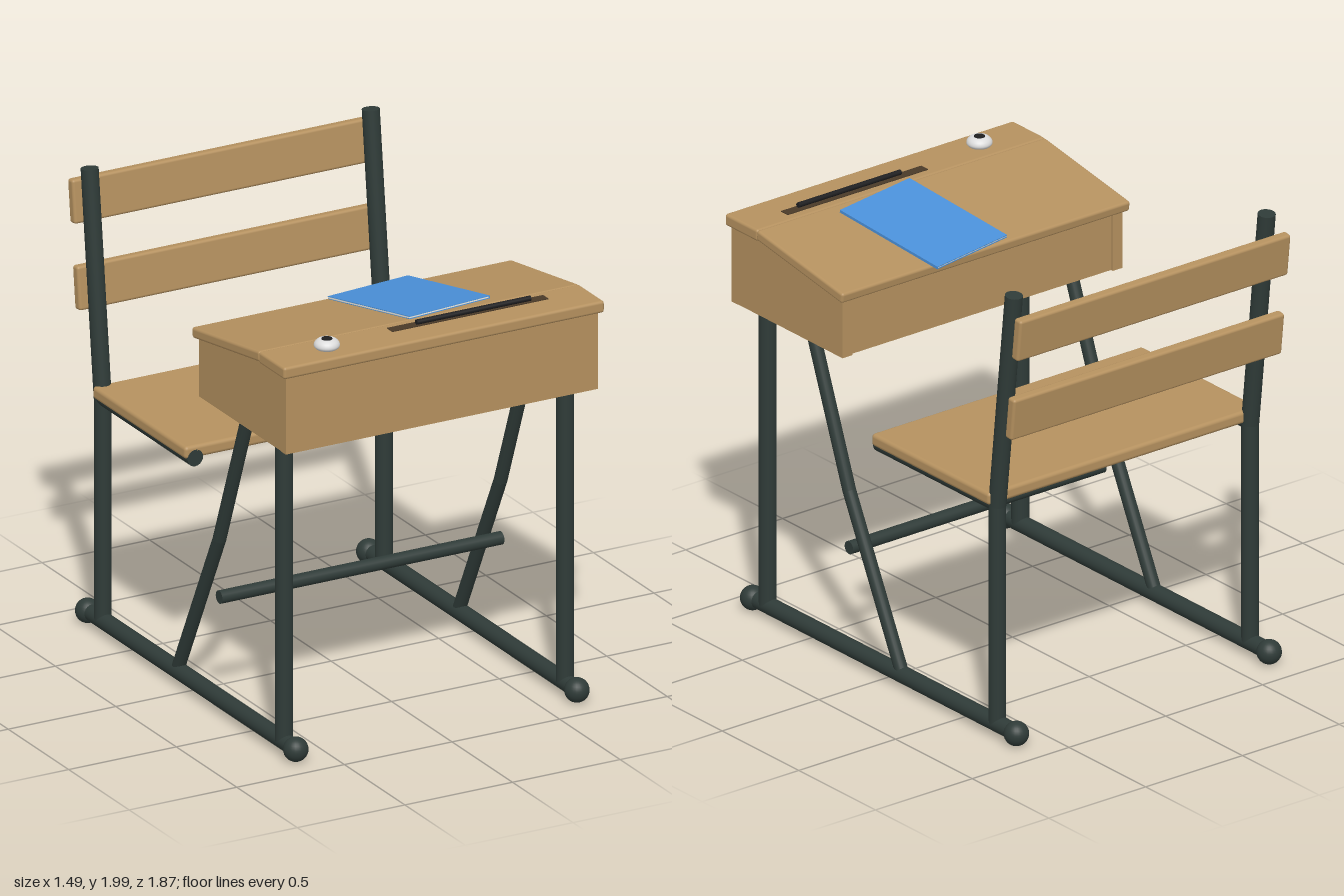
import * as THREE from 'three';
import { RoundedBoxGeometry } from 'three/addons/geometries/RoundedBoxGeometry.js';

const material = (name, color) => {
  const m = new THREE.MeshStandardMaterial({ color });
  m.name = name;
  return m;
};

export function createModel() {
  const wood = material('wood', 0xb5915f);
  const metal = material('dark metal', 0x2f3b38);
  const blue = material('book blue', 0x4a90d9);
  const paper = material('paper', 0xf5f2e8);
  const china = material('china', 0xdcdcdc);
  const groove = material('groove brown', 0x4a3a28);
  const ink = material('ink black', 0x1e1e20);

  const model = new THREE.Group();
  model.name = 'schoolDesk';

  const add = (name, geometry, mat, x = 0, y = 0, z = 0, parent = model) => {
    const mesh = new THREE.Mesh(geometry, mat);
    mesh.name = name;
    mesh.position.set(x, y, z);
    parent.add(mesh);
    return mesh;
  };
  const board = (name, w, h, d, y, z, tilt = 0, r = 0.012) => {
    const mesh = add(name, new RoundedBoxGeometry(w, h, d, 3, r), wood, 0, y, z);
    mesh.rotation.x = tilt;
    return mesh;
  };
  // Straight pipe between two points
  const pipe = (name, a, b, r) => {
    const from = new THREE.Vector3(...a), to = new THREE.Vector3(...b);
    const dir = to.clone().sub(from);
    const mesh = add(name, new THREE.CylinderGeometry(r, r, dir.length(), 20), metal);
    mesh.position.copy(from).add(to).multiplyScalar(0.5);
    mesh.quaternion.setFromUnitVectors(new THREE.Vector3(0, 1, 0), dir.normalize());
    return mesh;
  };

  // Side panel outline, drawn with z along the shape's x axis
  const side = new THREE.Shape([
    [0.195, 1.375], [0.91, 1.375], [0.91, 1.715], [0.73, 1.715], [0.195, 1.635],
  ].map(([z, y]) => new THREE.Vector2(-z, y)));
  const sideGeometry = new THREE.ExtrudeGeometry(side, { depth: 0.05, bevelEnabled: false });
  sideGeometry.rotateY(Math.PI / 2);

  // Tubular frame and desk sides, mirrored left and right
  for (const [label, s] of [['left', 1], ['right', -1]]) {
    const x = 0.653 * s;
    pipe(label + 'FloorRail', [x, 0.06, 0.87], [x, 0.06, -0.85], 0.036);
    for (const z of [0.87, -0.85]) {
      add(label + 'RailBall', new THREE.SphereGeometry(0.052, 24, 16), metal, x, 0.058, z);
    }
    pipe(label + 'FrontLeg', [x, 0.06, 0.773], [x, 1.39, 0.773], 0.037);
    pipe(label + 'RearLeg', [x, 0.06, -0.725], [x, 1.06, -0.725], 0.036);
    pipe(label + 'BackPost', [x, 1.03, -0.726], [x, 1.996, -0.834], 0.037);
    pipe(label + 'SeatRail', [x, 1.037, 0.04], [x, 1.037, -0.725], 0.036);
    pipe(label + 'UpperBrace', [x, 1.39, 0.483], [x, 0.755, 0.24], 0.028);
    pipe(label + 'LowerBrace', [x, 0.755, 0.24], [x, 0.06, -0.108], 0.028);
    add(label + 'BraceBend', new THREE.SphereGeometry(0.028, 20, 12), metal, x, 0.755, 0.24);
    add(label + 'DeskSide', sideGeometry, wood, s > 0 ? 0.673 : -0.723);
  }
  pipe('footBar', [-0.655, 0.5, 0.24], [0.655, 0.5, 0.24], 0.028);

  // Seat and backrest
  board('seat', 1.4, 0.055, 0.77, 1.063, -0.345, 0, 0.016);
  board('upperBackSlat', 1.4, 0.187, 0.044, 1.834, -0.905, -0.112);
  board('lowerBackSlat', 1.4, 0.187, 0.044, 1.47, -0.864, -0.112);

  // Desk box
  add('deskFront', new THREE.BoxGeometry(1.45, 0.34, 0.04), wood, 0, 1.545, 0.896);
  add('deskBack', new THREE.BoxGeometry(1.36, 0.26, 0.03), wood, 0, 1.505, 0.222);
  add('deskBottom', new THREE.BoxGeometry(1.36, 0.03, 0.68), wood, 0, 1.391, 0.555);
  board('deskTopStrip', 1.49, 0.052, 0.213, 1.737, 0.831);

  // Sloping lid, with the book lying on it
  const slope = -0.159;
  board('deskLid', 1.49, 0.046, 0.567, 1.695, 0.4515, slope);
  const lidTop = new THREE.Group();
  lidTop.name = 'book';
  lidTop.position.set(0.12, 1.7165, 0.43);
  lidTop.rotation.x = slope;
  model.add(lidTop);
  const book = new THREE.Group();
  book.name = 'bookBody';
  book.rotation.y = 0.143;
  lidTop.add(book);
  add('bookLowerCover', new THREE.BoxGeometry(0.408, 0.003, 0.55), blue, 0, 0.0025, 0, book);
  add('bookPages', new THREE.BoxGeometry(0.404, 0.006, 0.544), paper, -0.0025, 0.007, 0, book);
  add('bookUpperCover', new THREE.BoxGeometry(0.408, 0.003, 0.55), blue, 0, 0.0115, 0, book);
  add('bookSpine', new THREE.BoxGeometry(0.004, 0.012, 0.55), blue, 0.203, 0.007, 0, book);

  // Pen groove and pen
  add('penGroove', new THREE.BoxGeometry(0.725, 0.005, 0.044), groove, 0.192, 1.764, 0.788);
  const pen = add('pen', new THREE.CylinderGeometry(0.011, 0.011, 0.53, 12), ink, 0.215, 1.777, 0.794);
  pen.rotation.z = Math.PI / 2;

  // Inkwell: rounded china ring with dark ink
  const ring = new THREE.SplineCurve([
    [0.04, -0.004], [0.053, 0.01], [0.05, 0.026], [0.037, 0.038], [0.024, 0.041], [0.021, 0.034],
  ].map(([r, y]) => new THREE.Vector2(r, y)));
  china.side = THREE.DoubleSide;
  add('inkwell', new THREE.LatheGeometry(ring.getPoints(16), 32), china, -0.485, 1.763, 0.828);
  add('ink', new THREE.CylinderGeometry(0.022, 0.022, 0.04, 24), ink, -0.485, 1.786, 0.828);

  return model;
}
